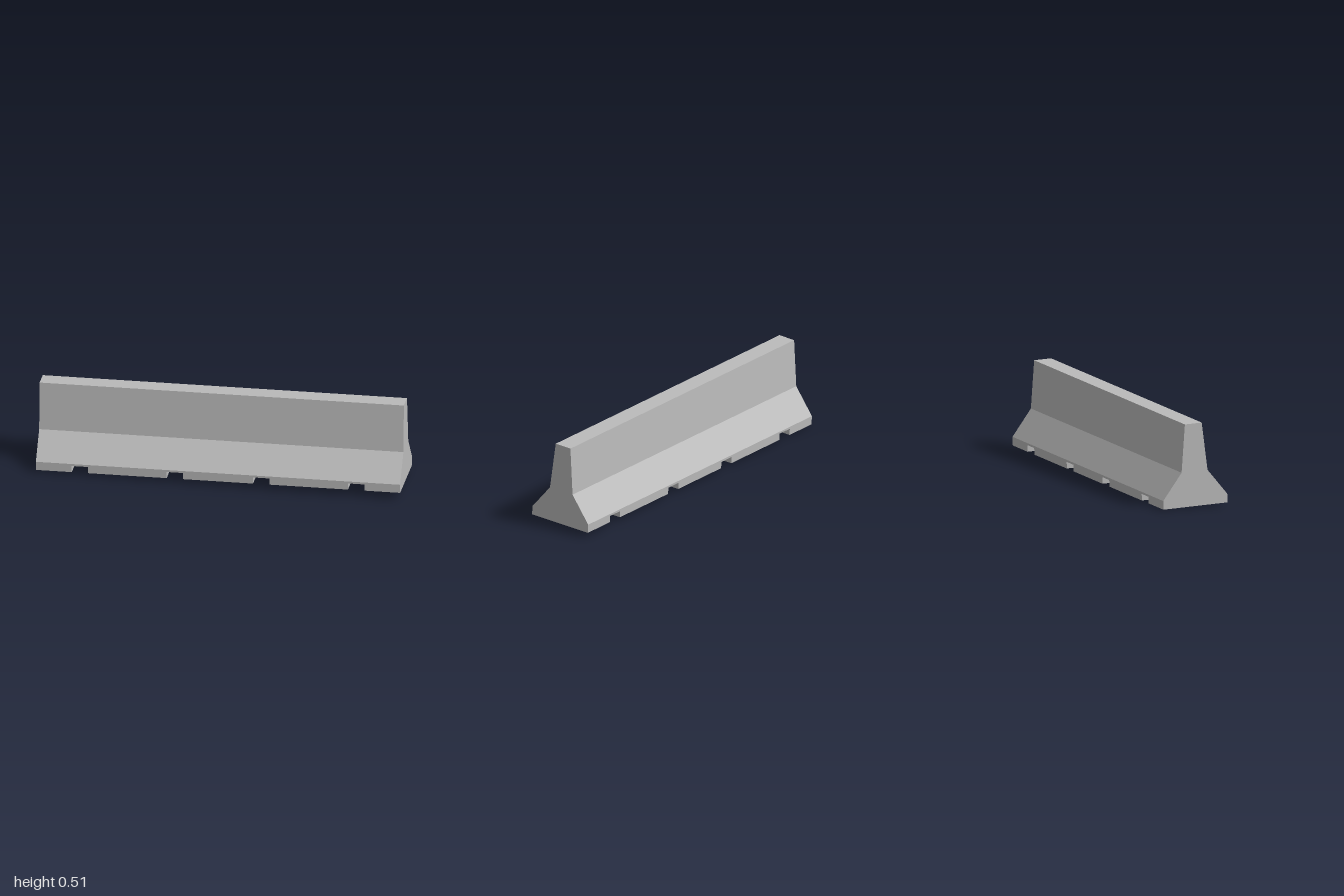
import * as THREE from 'three';

const HALF_LENGTH = 1.042, HALF_WIDTH = 0.1975, FOOT = 0.05;
const NOTCHES = [-0.79, -0.247, 0.247, 0.79], NOTCH_HALF = 0.047, NOTCH_TOP = 0.038;
// Upper cross-section as [z, y], from the front foot over the top to the back foot
const FRONT = [[HALF_WIDTH, FOOT], [0.08, 0.2], [0.052, 0.475]];
const PROFILE = [...FRONT, ...FRONT.map(([z, y]) => [-z, y]).reverse()];

// Flat panels swept along x between two positions
function sweep(points, x0, x1) {
  const pos = [];
  for (let i = 0; i < points.length - 1; i++) {
    const [za, ya] = points[i], [zb, yb] = points[i + 1];
    pos.push(x0, ya, za, x1, ya, za, x1, yb, zb, x0, ya, za, x1, yb, zb, x0, yb, zb);
  }
  const g = new THREE.BufferGeometry();
  g.setAttribute('position', new THREE.Float32BufferAttribute(pos, 3));
  g.computeVertexNormals();
  return g;
}

// Vertical foot wall with the notches cut out of its lower edge
function footWall() {
  const s = new THREE.Shape();
  s.moveTo(-HALF_LENGTH, 0);
  for (const x of NOTCHES) {
    s.lineTo(x - NOTCH_HALF, 0);
    s.lineTo(x - NOTCH_HALF, NOTCH_TOP);
    s.lineTo(x + NOTCH_HALF, NOTCH_TOP);
    s.lineTo(x + NOTCH_HALF, 0);
  }
  s.lineTo(HALF_LENGTH, 0);
  s.lineTo(HALF_LENGTH, FOOT);
  s.lineTo(-HALF_LENGTH, FOOT);
  s.closePath();
  return new THREE.ShapeGeometry(s).translate(0, 0, HALF_WIDTH);
}

// Full cross-section plate, facing +x
function crossWall() {
  const s = new THREE.Shape();
  s.moveTo(-HALF_WIDTH, 0);
  s.lineTo(HALF_WIDTH, 0);
  for (const [z, y] of PROFILE) s.lineTo(z, y);
  s.closePath();
  return new THREE.ShapeGeometry(s).rotateY(Math.PI / 2);
}

export function createModel() {
  const concrete = new THREE.MeshStandardMaterial({ color: 0xbababa, side: THREE.DoubleSide });
  concrete.name = 'concrete';
  const model = new THREE.Group();
  model.name = 'roadBarrier';
  const barrier = new THREE.Group();
  barrier.name = 'barrierShell';
  model.add(barrier);
  const add = (name, geometry) => {
    const mesh = new THREE.Mesh(geometry, concrete);
    mesh.name = name;
    barrier.add(mesh);
    return mesh;
  };

  // Two sloped shell halves meeting at the centre seam
  add('rightShell', sweep(PROFILE, -HALF_LENGTH, 0));
  add('leftShell', sweep(PROFILE, 0, HALF_LENGTH));

  // Notched foot walls
  add('frontFoot', footWall());
  add('backFoot', footWall().rotateY(Math.PI));

  // End walls and the partition inside the hollow underside
  add('leftEnd', crossWall().translate(HALF_LENGTH, 0, 0));
  add('rightEnd', crossWall().rotateY(Math.PI).translate(-HALF_LENGTH, 0, 0));
  add('centrePartition', crossWall());

  // Channels running through the foot
  for (const x of NOTCHES) {
    const ceiling = new THREE.PlaneGeometry(NOTCH_HALF * 2, HALF_WIDTH * 2).rotateX(Math.PI / 2);
    add('channelCeiling', ceiling.translate(x, NOTCH_TOP, 0));
    for (const side of [-1, 1]) {
      const wall = new THREE.PlaneGeometry(HALF_WIDTH * 2, NOTCH_TOP).rotateY(-side * Math.PI / 2);
      add('channelWall', wall.translate(x + side * NOTCH_HALF, NOTCH_TOP / 2, 0));
    }
  }

  // Set at an angle, with a slight lean on uneven ground
  barrier.rotation.set(-0.035, 0.53, 0.0146, 'YZX');
  barrier.position.y = 0.022;
  return model;
}
